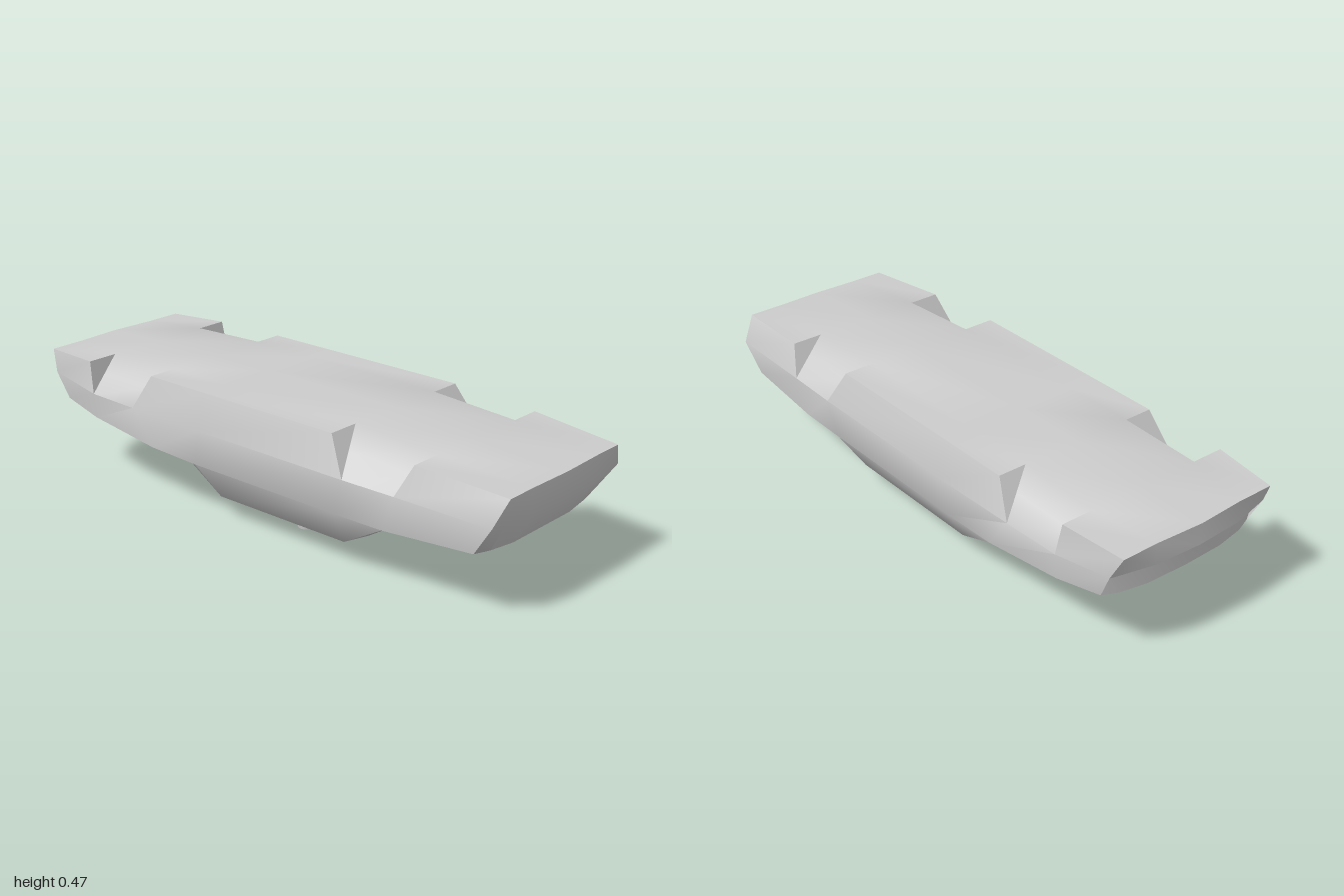
import * as THREE from 'three';
import { toCreasedNormals } from 'three/addons/utils/BufferGeometryUtils.js';

// Half cross-section, from the flat face's centre line round the side to the lower centre line.
// t: flat face, w: widest line, s: shoulder, b: lower corner, c: lower centre panel
function section({ t, e, w, s, b, c, notch = false, tz = t[2], cz = c[2] }) {
  const edge = notch ? t.map((v, k) => (v + w[k]) / 2) : [e, t[1], t[2]];
  return [[0, t[1], tz], t, edge, w, s, b, c, [0, c[1], cz]];
}

// Mirror a half section into a closed ring
function ring(half) {
  const other = half.slice(1, -1).reverse().map(([x, y, z]) => [-x, y, z]);
  return [...half, ...other];
}

// Skin consecutive rings, leaving out collapsed triangles
function loft(rings) {
  const pos = [];
  const tri = (...pts) => {
    const [a, b, c] = pts.map((p) => new THREE.Vector3(...p));
    if (b.clone().sub(a).cross(c.clone().sub(a)).length() < 1e-6) return;
    pts.forEach((p) => pos.push(...p));
  };
  for (let i = 0; i < rings.length - 1; i++) {
    const n = rings[i].length;
    for (let j = 0; j < n; j++) {
      const k = (j + 1) % n;
      const [a, b, c, d] = [rings[i][j], rings[i][k], rings[i + 1][k], rings[i + 1][j]];
      tri(a, b, d);
      tri(b, c, d);
    }
  }
  const g = new THREE.BufferGeometry();
  g.setAttribute('position', new THREE.Float32BufferAttribute(pos, 3));
  return toCreasedNormals(g, 0.9);
}

export function createModel() {
  const group = new THREE.Group();
  const grey = new THREE.MeshStandardMaterial({ color: 0xcccccc });
  grey.name = 'plain grey';

  // Stations of the shell, front to back; notched pairs form the four wheel cut-outs
  const nose = {
    t: [0.17, 0.425, 0.995], e: 0.285, w: [0.335, 0.34, 0.97], s: [0.32, 0.237, 0.9],
    b: [0.25, 0.228, 0.91], c: [0.15, 0.222, 0.92], tz: 1,
  };
  const frontArchA = {
    t: [0.2, 0.448, 0.67], e: 0.31, w: [0.342, 0.343, 0.62], s: [0.335, 0.217, 0.57],
    b: [0.25, 0.208, 0.57], c: [0.14, 0.205, 0.57],
  };
  const frontArchB = {
    t: [0.2, 0.468, 0.35], e: 0.312, w: [0.346, 0.343, 0.42], s: [0.335, 0.215, 0.38],
    b: [0.25, 0.082, 0.35], c: [0.14, 0.069, 0.36],
  };
  const middle = {
    t: [0.205, 0.468, -0.2], e: 0.312, w: [0.348, 0.345, -0.2], s: [0.335, 0.215, -0.23],
    b: [0.25, 0.082, -0.2], c: [0.14, 0.065, -0.21],
  };
  const rearArchA = {
    t: [0.21, 0.468, -0.46], e: 0.312, w: [0.34, 0.345, -0.53], s: [0.335, 0.222, -0.44],
    b: [0.25, 0.206, -0.4], c: [0.14, 0.2, -0.4],
  };
  const rearArchB = {
    t: [0.21, 0.458, -0.76], e: 0.325, w: [0.333, 0.345, -0.74], s: [0.325, 0.255, -0.74],
    b: [0.25, 0.25, -0.74], c: [0.14, 0.247, -0.74],
  };
  const tail = {
    t: [0.17, 0.45, -0.99], e: 0.3, w: [0.318, 0.375, -0.955], s: [0.305, 0.283, -0.91],
    b: [0.25, 0.279, -0.93], c: [0.15, 0.275, -0.945], tz: -1, cz: -0.95,
  };
  const cut = (s) => ({ ...s, notch: true });
  const halves = [
    nose, frontArchA, cut(frontArchA), cut(frontArchB), frontArchB, middle,
    rearArchA, cut(rearArchA), cut(rearArchB), rearArchB, tail,
  ].map(section);

  // Nose ridge: upper and lower faces meet in one line
  const fc = [0.335, 0.34, 0.97], fb = [0.285, 0.34, 0.98], fa = [0.17, 0.34, 0.995], f0 = [0, 0.34, 1];
  const noseRidge = [f0, fa, fb, fc, fc, fb, fa, f0];

  // Tail lip: the upper half overhangs, then steps in to close against the lower half
  const inner = [[0, -0.96], [0.17, -0.95], [0.285, -0.935], [0.318, -0.92]].map(([x, z]) => [x, 0.375, z]);
  const outer = [[0, -1], [0.17, -0.99], [0.3, -0.96], [0.318, -0.955]].map(([x, z]) => [x, 0.375, z]);
  const back = [...inner].reverse();
  const tailLip = [...outer, ...back];
  const tailClose = [...inner, ...back];

  const body = new THREE.Mesh(loft([noseRidge, ...halves, tailLip, tailClose].map(ring)), grey);
  body.name = 'bodyShell';
  group.add(body);

  // Two tapered pegs the shell stands on
  for (const side of [1, -1]) {
    const peg = new THREE.Mesh(new THREE.CylinderGeometry(0.046, 0.033, 0.08, 16), grey);
    peg.position.set(side * 0.1, 0.04, 0.058);
    peg.name = side > 0 ? 'leftPeg' : 'rightPeg';
    group.add(peg);
  }
  return group;
}
